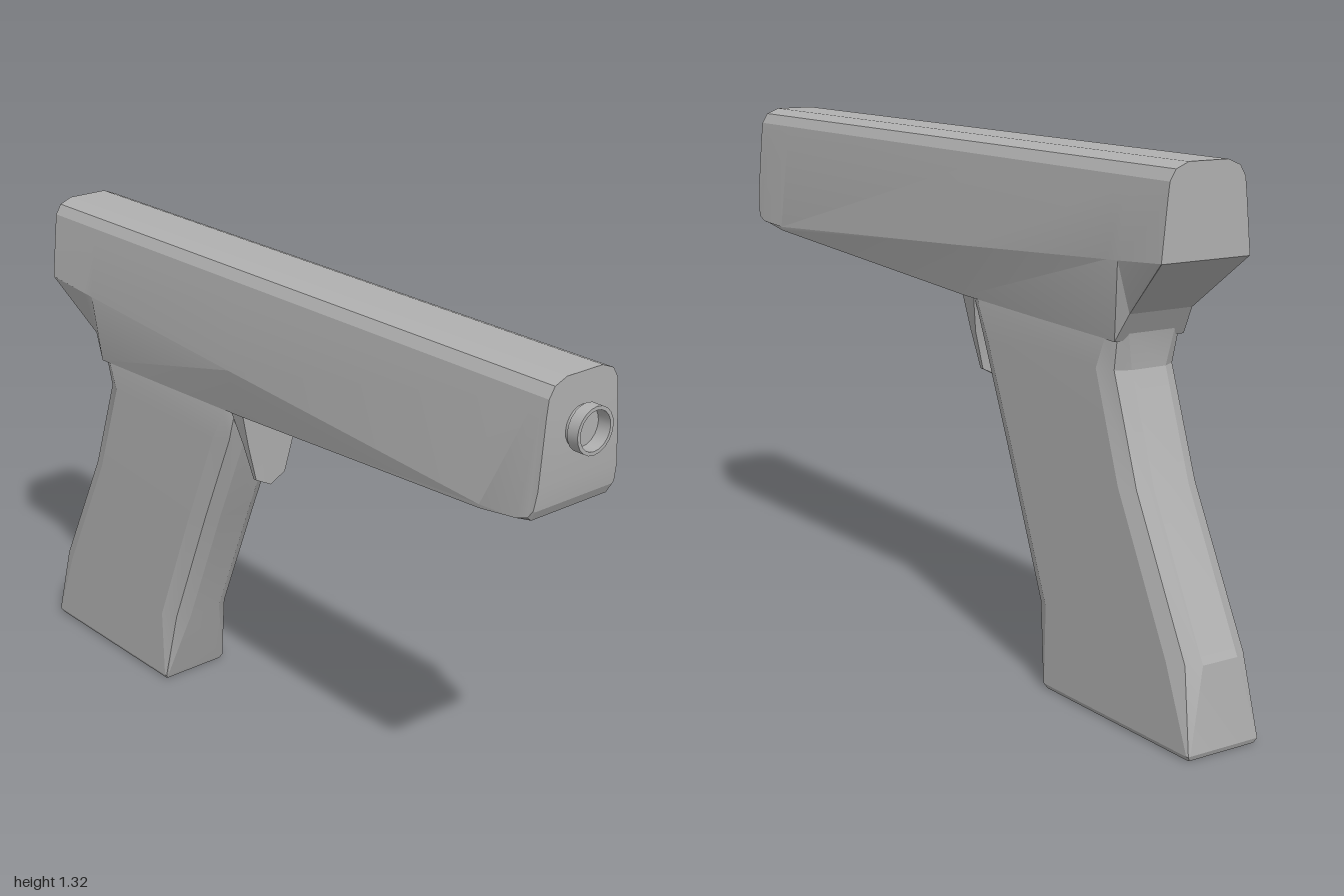
import * as THREE from 'three';
import { toCreasedNormals } from 'three/addons/utils/BufferGeometryUtils.js';

const grey = new THREE.MeshStandardMaterial({ color: 0xb0b0b0 });
grey.name = 'plain grey';

// Skin a list of equal-length closed rings of [x, y, z] and cap both ends
function loft(rings) {
  const n = rings[0].length;
  const pos = rings.flat(2);
  const idx = [];
  for (let r = 0; r < rings.length - 1; r++) {
    for (let i = 0; i < n; i++) {
      const a = r * n + i, b = r * n + (i + 1) % n;
      idx.push(a, b, a + n, b, b + n, a + n);
    }
  }
  const cap = (ring, start, flip) => {
    const c = pos.length / 3;
    for (let k = 0; k < 3; k++) pos.push(ring.reduce((s, p) => s + p[k], 0) / n);
    for (let i = 0; i < n; i++) {
      const a = start + i, b = start + (i + 1) % n;
      idx.push(c, flip ? b : a, flip ? a : b);
    }
  };
  cap(rings[0], 0, true);
  cap(rings[rings.length - 1], (rings.length - 1) * n, false);
  // Turn the faces outward when the enclosed volume is negative
  const v = (i) => new THREE.Vector3().fromArray(pos, i * 3);
  let volume = 0;
  for (let i = 0; i < idx.length; i += 3) {
    volume += v(idx[i]).dot(v(idx[i + 1]).cross(v(idx[i + 2])));
  }
  if (volume < 0) idx.reverse();
  const g = new THREE.BufferGeometry();
  g.setAttribute('position', new THREE.Float32BufferAttribute(pos, 3));
  g.setIndex(idx);
  return toCreasedNormals(g, 0.3);
}

// Complete a half ring (x > 0) with its mirror image
const mirror = (half) => [...half, ...half.map(([x, y, z]) => [-x, y, z]).reverse()];

function bodyGeometry() {
  // z, widest half width, height of side crease, bottom half width, bottom height
  const stations = [
    [0.96, 0.124, 1.08, 0.122, 1.08],
    [0.953, 0.127, 1.035, 0.122, 1.03],
    [0.94, 0.13, 1.015, 0.118, 1.005],
    [0.91, 0.133, 1.005, 0.118, 0.999],
    [0.8, 0.136, 1.0, 0.134, 0.99],
    [-0.1, 0.132, 1.052, 0.1, 0.922],
    [-0.71, 0.127, 1.089, 0.1, 0.9],
    [-0.75, 0.126, 1.091, 0.09, 0.968],
    [-0.9, 0.125, 1.101, 0.124, 1.1],
  ];
  return loft(stations.map(([z, w, yc, wb, yb]) => {
    const top = 1.32 + z * 0.005;
    return mirror([
      [0.055, top, z], [0.09, top - 0.014, z], [0.106, top - 0.04, z],
      [0.111, top - 0.08, z], [w, yc, z], [wb, yb, z],
    ]);
  }));
}

function gripGeometry() {
  // y, front z, back z, half width, corner rounding (0 square, 1 round)
  const rows = [
    [0, -0.455, -0.995, 0.096, 0],
    [0.012, -0.45, -1, 0.103, 0],
    [0.21, -0.395, -0.982, 0.103, 1],
    [0.57, -0.25, -0.8, 0.103, 1],
    [0.83, -0.14, -0.71, 0.102, 1],
    [0.91, -0.12, -0.718, 0.1, 0.6],
    [0.97, -0.12, -0.735, 0.09, 0.4],
  ];
  return loft(rows.map(([y, f, b, w, r]) => mirror([
    [w - 0.008 - 0.045 * r, y, f],
    [w - 0.002 - 0.016 * r, y, f - 0.02 * r],
    [w, y, f - 0.005 - 0.06 * r],
    [w, y, b + 0.005 + 0.06 * r],
    [w - 0.002 - 0.016 * r, y, b + 0.02 * r],
    [w - 0.008 - 0.045 * r, y, b],
  ])));
}

function triggerGeometry() {
  // y at sides, y at middle, half width, front z, back z
  const rows = [
    [0.935, 0.93, 0.099, -0.085, -0.138],
    [0.83, 0.82, 0.075, -0.09, -0.112],
    [0.73, 0.705, 0.048, -0.094, -0.105],
  ];
  return loft(rows.map(([y, m, w, f, b]) => [
    [-w, y, f], [0, m, f], [w, y, f], [w, y, b], [0, m, b], [-w, y, b],
  ]));
}

function muzzleGeometry() {
  // Short hollow tube with a recessed floor
  const profile = [[0.05, 0.94], [0.05, 0.968], [0.056, 0.97], [0.056, 1], [0.047, 1], [0.047, 0.965], [0, 0.965]];
  const g = new THREE.LatheGeometry(profile.map(([x, y]) => new THREE.Vector2(x, y)), 20);
  g.rotateX(Math.PI / 2).translate(0, 1.2, 0);
  return toCreasedNormals(g, 0.5);
}

export function createModel() {
  const model = new THREE.Group();
  model.name = 'model';
  const add = (name, geometry) => {
    const mesh = new THREE.Mesh(geometry, grey);
    mesh.name = name;
    model.add(mesh);
  };
  add('body', bodyGeometry());
  add('grip', gripGeometry());
  add('trigger', triggerGeometry());
  add('muzzle', muzzleGeometry());
  return model;
}
